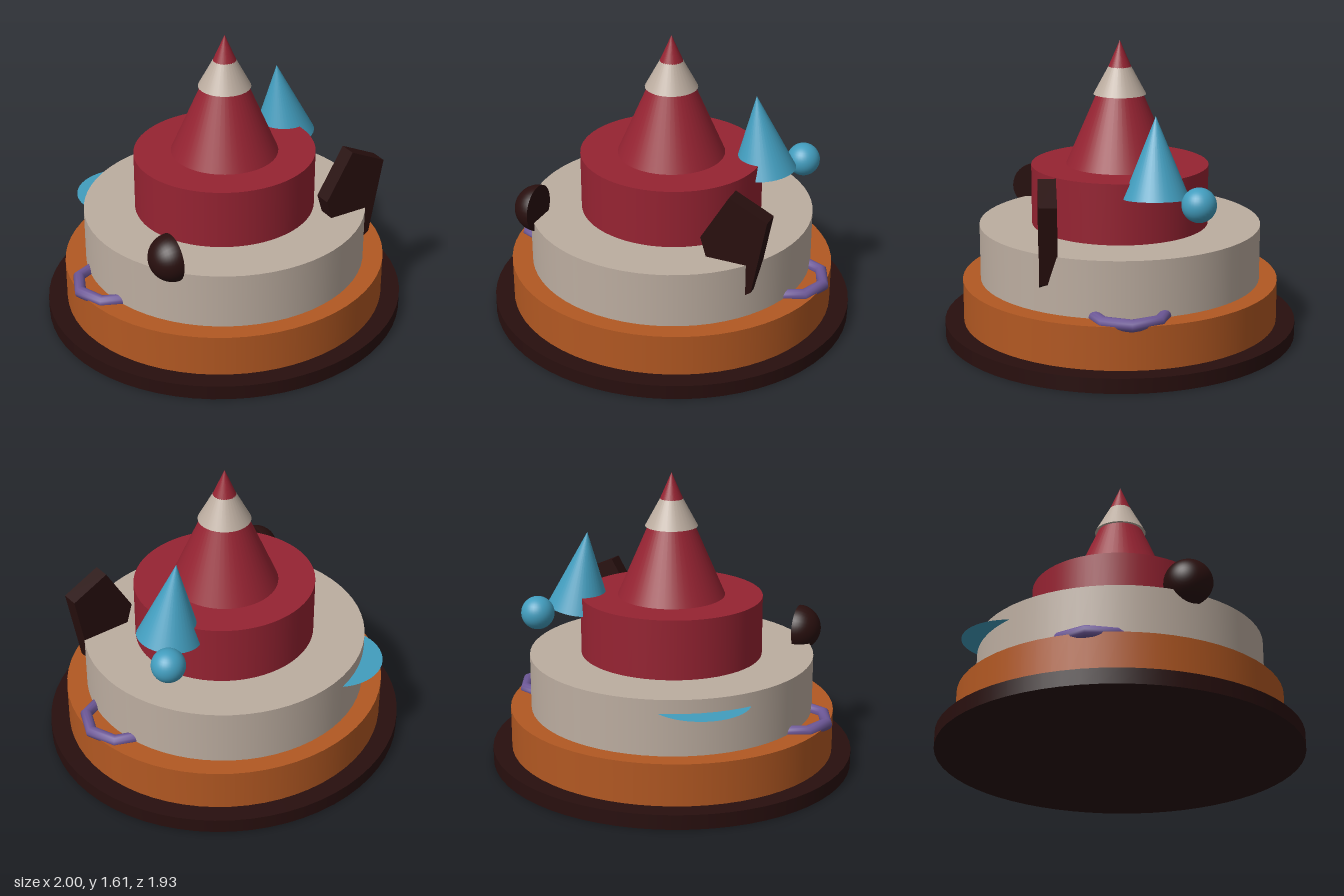
import * as THREE from 'three';

const paint = (name, color, side = THREE.FrontSide) => {
  const m = new THREE.MeshStandardMaterial({ color, side });
  m.name = name;
  return m;
};

export function createModel() {
  const model = new THREE.Group();
  model.name = 'tieredCake';
  const brown = paint('darkBrown', 0x280f0e);
  const orange = paint('burntOrange', 0xb25822);
  const beige = paint('beige', 0xbcada0);
  const red = paint('deepRed', 0x962332);
  const blue = paint('blue', 0x429dbe, THREE.DoubleSide);
  const purple = paint('purple', 0x6c5796);

  const add = (name, geometry, material, x = 0, y = 0, z = 0) => {
    const mesh = new THREE.Mesh(geometry, material);
    mesh.name = name;
    mesh.position.set(x, y, z);
    model.add(mesh);
    return mesh;
  };

  // Stacked oval tiers: [name, material, x radius, z radius, bottom, top]
  for (const [name, material, rx, rz, y0, y1] of [
    ['basePlate', brown, 1, 0.966, 0, 0.08],
    ['bottomTier', orange, 0.895, 0.864, 0.08, 0.31],
    ['middleTier', beige, 0.777, 0.767, 0.31, 0.615],
    ['topTier', red, 0.497, 0.481, 0.615, 0.94],
  ]) {
    const tier = new THREE.CylinderGeometry(rx, rx, y1 - y0, 64);
    tier.scale(1, 1, rz / rx);
    add(name, tier, material, 0, (y0 + y1) / 2, 0);
  }

  // Central cone and the collar around its tip
  add('centralCone', new THREE.ConeGeometry(0.291, 0.67, 48), red, 0, 1.275, 0);
  add('coneCollar', new THREE.ConeGeometry(0.142, 0.262, 32), beige, 0, 1.451, 0);

  // Leaning blue cone and the ball beside it
  const leaning = add('leaningCone', new THREE.ConeGeometry(0.173, 0.425, 40), blue, 0.453, 1.068, -0.155);
  leaning.rotation.z = 0.13;
  add('ball', new THREE.SphereGeometry(0.09, 32, 20), blue, 0.631, 0.858, -0.358);

  // Flat disc tucked into the back of the middle tier
  const disc = add('sideDisc', new THREE.CircleGeometry(0.267, 48), blue, -0.366, 0.54, -0.502);
  disc.rotation.x = -Math.PI / 2;

  // Half ball with its flat face towards +x
  const half = new THREE.SphereGeometry(0.127, 32, 12, 0, Math.PI * 2, 0, Math.PI / 2);
  add('halfBall', half, brown, -0.579, 0.681, 0.457).rotation.z = Math.PI / 2;
  add('halfBallFace', new THREE.CircleGeometry(0.127, 32), brown, -0.579, 0.681, 0.457).rotation.y = Math.PI / 2;

  // Upright five-sided shard
  const outline = [[0.524, 0.982], [0.37, 0.722], [0.485, 0.338], [0.655, 0.46], [0.733, 0.882]];
  const shard = new THREE.Shape(outline.map(([x, y]) => new THREE.Vector2(x, y)));
  add('shard', new THREE.ExtrudeGeometry(shard, { depth: 0.093, bevelEnabled: false }), brown, 0, 0, 0.361);

  // Angular handles on both sides
  for (const side of [1, -1]) {
    const handle = new THREE.TorusGeometry(0.197, 0.033, 12, 4, Math.PI);
    handle.rotateX(Math.PI / 2);
    handle.rotateY(side * Math.PI / 2);
    // The arc starts out facing +z; turn it to face outwards
    add(side > 0 ? 'leftHandle' : 'rightHandle', handle, purple, side * 0.697, 0.316, 0);
  }

  return model;
}
